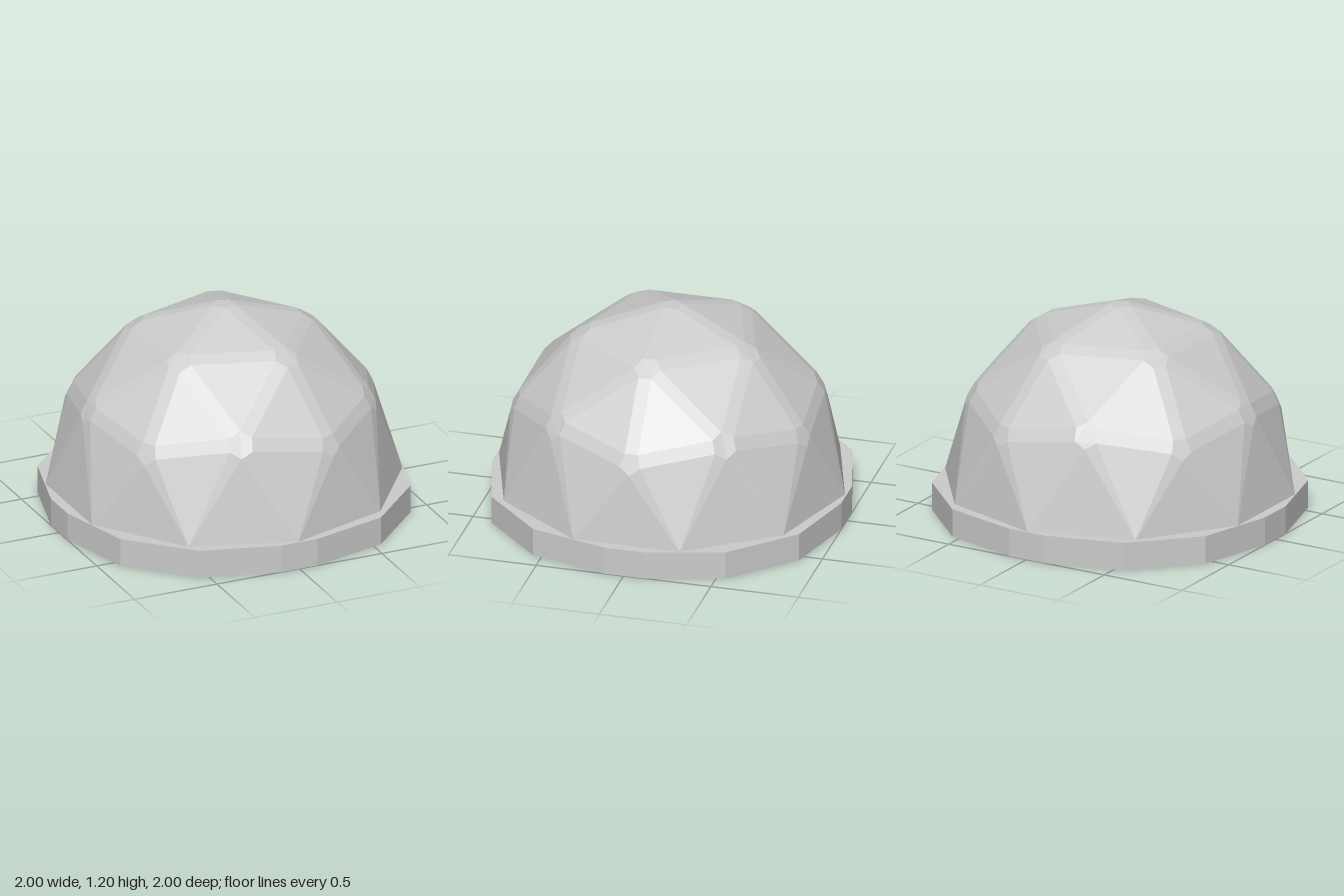
import * as THREE from 'three';

const BASE_H = 0.16; // plinth height, also the level of the dome's rim
const RADIUS = 0.99; // dome radius at the rim
const HEIGHT = 1.06; // dome height before its corners are cut
const BEVEL = 0.075; // share of each edge taken by the bevel

// Geodesic half-sphere with every edge and corner bevelled, except along the rim
function domeGeometry() {
  const verts = [];
  const ring = (count, startDeg, r, y) => Array.from({ length: count }, (_, k) => {
    const a = THREE.MathUtils.degToRad(startDeg + (k * 360) / count);
    verts.push(new THREE.Vector3(r * Math.cos(a) * RADIUS, y * HEIGHT, r * Math.sin(a) * RADIUS));
    return verts.length - 1;
  });
  const [top] = ring(1, 0, 0, 1);
  const upper = ring(5, 0, 0.526, 0.851);
  const corner = ring(5, 0, 0.894, 0.447);
  const middle = ring(5, 36, 0.851, 0.526);
  const rim = ring(10, 18, 1, 0);

  const faces = [];
  for (let k = 0; k < 5; k++) {
    const n = (k + 1) % 5;
    const [a, a2, c, c2, d] = [upper[k], upper[n], corner[k], corner[n], middle[k]];
    const [r0, r1, r2] = [rim[(2 * k + 9) % 10], rim[2 * k], rim[2 * k + 1]];
    faces.push([top, a, a2], [a, c, d], [a, d, a2], [a2, d, c2],
      [c, r0, r1], [c, r1, d], [d, r1, r2], [d, r2, c2]);
  }

  const positions = [];
  // Adds a polygon as a fan of triangles that all face outwards
  const polygon = (pts) => {
    for (let i = 1; i < pts.length - 1; i++) {
      const [a, b, c] = [pts[0], pts[i], pts[i + 1]];
      const normal = b.clone().sub(a).cross(c.clone().sub(a));
      if (normal.length() < 1e-7) continue;
      const outward = normal.dot(a.clone().add(b).add(c)) > 0;
      for (const p of outward ? [a, b, c] : [a, c, b]) positions.push(p.x, p.y, p.z);
    }
  };

  // Shrunken triangles; their corners are kept for the strips and caps
  const edges = new Map();
  const caps = verts.map(() => []);
  for (const face of faces) {
    const inset = face.map((id, i) => {
      const p = verts[id].clone();
      if (rim.includes(id)) return p;
      for (const step of [1, 2]) {
        p.addScaledVector(verts[face[(i + step) % 3]].clone().sub(verts[id]), BEVEL);
      }
      caps[id].push(p);
      return p;
    });
    polygon(inset);
    for (let i = 0; i < 3; i++) {
      const j = (i + 1) % 3;
      const [lo, hi] = face[i] < face[j] ? [i, j] : [j, i];
      const key = `${face[lo]}-${face[hi]}`;
      if (!edges.has(key)) edges.set(key, []);
      edges.get(key).push([inset[lo], inset[hi]]);
    }
  }

  // Strips along the edges
  for (const [p, q] of edges.values()) {
    if (q) polygon([p[0], p[1], q[1], q[0]]);
  }

  // Small five- and six-sided caps at the corners
  caps.forEach((pts, id) => {
    if (!pts.length) return;
    const axis = verts[id].clone().normalize();
    const u = new THREE.Vector3(0.3, 0.2, 0.9).cross(axis).normalize();
    const v = axis.clone().cross(u);
    const angle = (p) => {
      const d = p.clone().sub(verts[id]);
      return Math.atan2(d.dot(v), d.dot(u));
    };
    polygon(pts.sort((a, b) => angle(a) - angle(b)));
  });

  const geometry = new THREE.BufferGeometry();
  geometry.setAttribute('position', new THREE.Float32BufferAttribute(positions, 3));
  geometry.computeVertexNormals();
  return geometry;
}

// Sixteen-sided slab, one quarter of its outline turned four times
function baseGeometry() {
  const quarter = [[1, 0.11], [0.88, 0.55], [0.55, 0.88], [0.11, 1]];
  const outline = [];
  for (let q = 0; q < 4; q++) {
    for (const [x, y] of quarter) {
      outline.push(new THREE.Vector2(x, y).rotateAround(new THREE.Vector2(), (q * Math.PI) / 2));
    }
  }
  const geometry = new THREE.ExtrudeGeometry(new THREE.Shape(outline), { depth: BASE_H, bevelEnabled: false });
  return geometry.rotateX(-Math.PI / 2);
}

export function createModel() {
  const group = new THREE.Group();
  const material = new THREE.MeshStandardMaterial({ color: 0xcccccc, flatShading: true });

  const base = new THREE.Mesh(baseGeometry(), material);
  base.name = 'base';

  const dome = new THREE.Mesh(domeGeometry(), material);
  dome.name = 'dome';
  dome.position.y = BASE_H;

  group.add(base, dome);
  return group;
}
